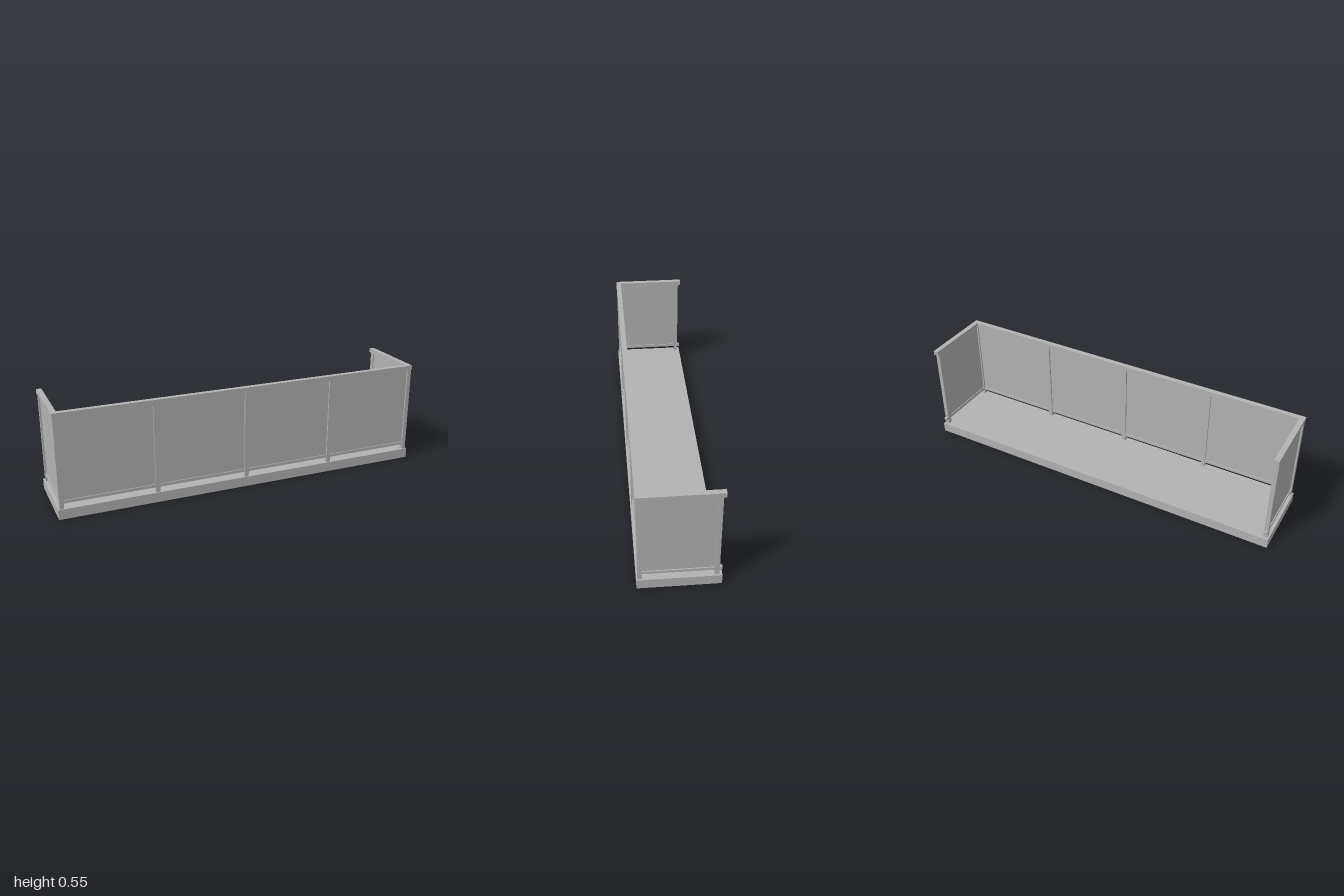
import * as THREE from 'three';

export function createModel() {
  const group = new THREE.Group();
  const grey = new THREE.MeshStandardMaterial({ color: 0xb3b3b3 });
  grey.name = 'concreteGrey';

  // Box given by its minimum and maximum on each axis
  const box = (name, x0, x1, y0, y1, z0, z1) => {
    const mesh = new THREE.Mesh(new THREE.BoxGeometry(x1 - x0, y1 - y0, z1 - z0), grey);
    mesh.position.set((x0 + x1) / 2, (y0 + y1) / 2, (z0 + z1) / 2);
    mesh.name = name;
    group.add(mesh);
  };

  const slabTop = 0.053, railLow = 0.526, railTop = 0.549;
  const barLow = 0.08, barTop = 0.096;
  const back = -0.198, frontZ = 0.182, backZ = -0.174, sideX = 0.981;
  const p = 0.011;   // half post width
  const r = 0.0135;  // half handrail width
  const b = 0.008;   // half bottom bar width
  const g = 0.003;   // half panel thickness

  // Floor slab
  box('floorSlab', -1, 1, 0, slabTop, back, 0.198);

  // Front posts, evenly spaced with one at each corner
  const posts = [-2, -1, 0, 1, 2].map(i => i * sideX / 2);
  for (const x of posts) box('frontPost', x - p, x + p, slabTop, railLow, frontZ - p, frontZ + p);

  // Front panels and bottom bars between the posts
  for (let i = 0; i < 4; i++) {
    const x0 = posts[i] + p, x1 = posts[i + 1] - p;
    box('frontPanel', x0, x1, barTop, railLow, frontZ - g, frontZ + g);
    box('frontBottomBar', x0, x1, barLow, barTop, frontZ - b, frontZ + b);
  }

  // Front handrail
  box('frontHandrail', -sideX - r, sideX + r, railLow, railTop, frontZ - r, frontZ + r);

  // Sides: handrail and bottom bar run past the rear post
  for (const s of [-1, 1]) {
    const x = s * sideX;
    box('sideHandrail', x - r, x + r, railLow, railTop, back, frontZ - r);
    box('sideBottomBar', x - b, x + b, barLow, barTop, back, frontZ - p);
    box('rearPost', x - p, x + p, slabTop, railLow, backZ - p, backZ + p);
    box('sidePanel', x - g, x + g, barTop, railLow, backZ + p, frontZ - p);
  }

  return group;
}
